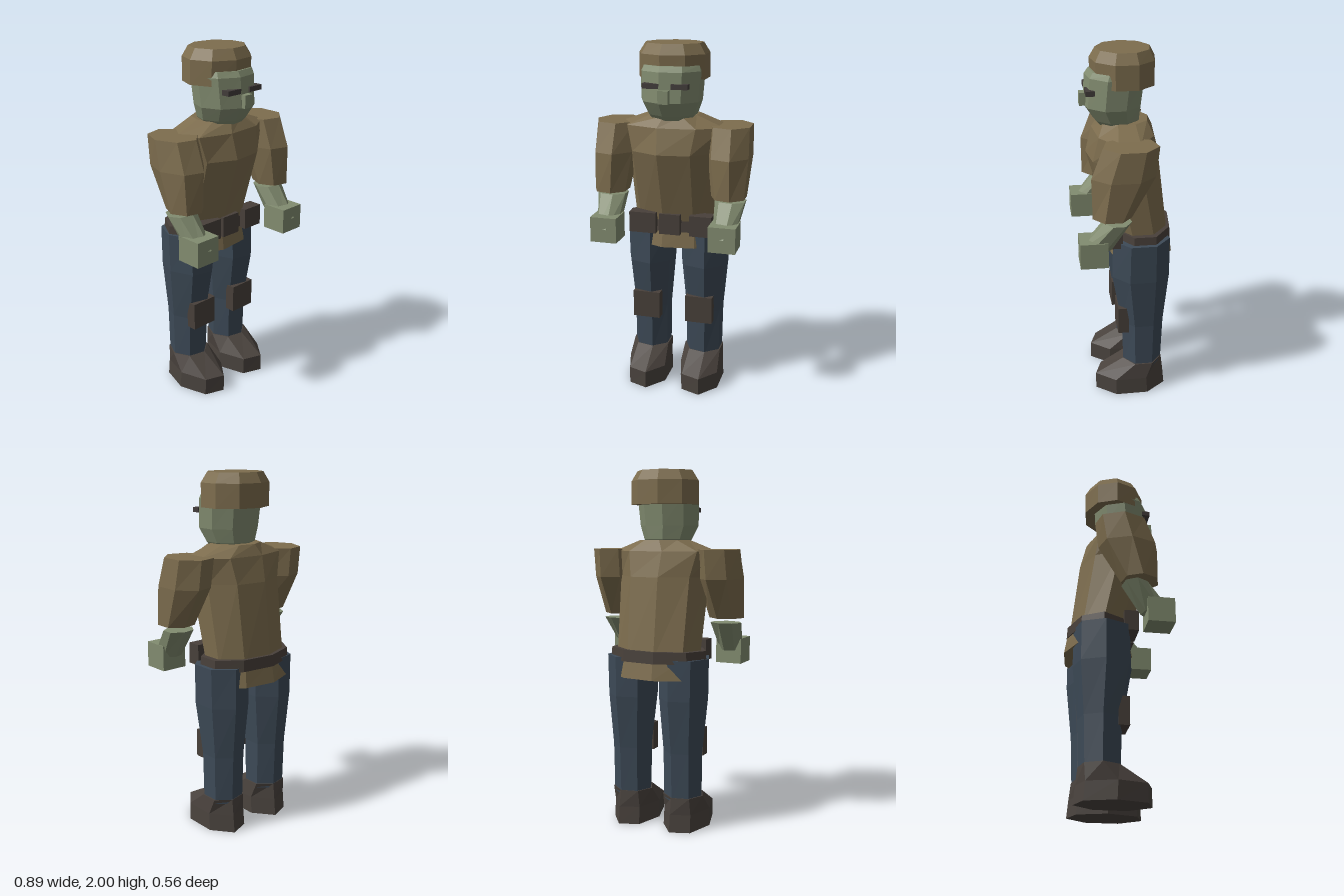
import * as THREE from 'three';

const mat = (name, color) => {
  const m = new THREE.MeshStandardMaterial({ color, flatShading: true });
  m.name = name;
  return m;
};

// Closed solid through elliptical rings [x, y, z, rx, rz], listed bottom to top.
// The first corner of every ring points to -x.
function loft(sides, rings) {
  const pos = [], idx = [];
  for (const [x, y, z, rx, rz] of rings)
    for (let i = 0; i < sides; i++) {
      const a = Math.PI + (i / sides) * Math.PI * 2;
      pos.push(x + rx * Math.cos(a), y, z + rz * Math.sin(a));
    }
  for (let r = 0; r < rings.length - 1; r++)
    for (let i = 0; i < sides; i++) {
      const a = r * sides + i, b = r * sides + (i + 1) % sides;
      idx.push(a, a + sides, b, b, a + sides, b + sides);
    }
  const top = (rings.length - 1) * sides;
  for (let i = 1; i < sides - 1; i++)
    idx.push(0, i, i + 1, top, top + i + 1, top + i);
  const g = new THREE.BufferGeometry();
  g.setAttribute('position', new THREE.Float32BufferAttribute(pos, 3));
  g.setIndex(idx);
  const flat = g.toNonIndexed();
  flat.computeVertexNormals();
  return flat;
}

// Box given by its extents.
function box(x0, x1, y0, y1, z0, z1) {
  return new THREE.BoxGeometry(x1 - x0, y1 - y0, z1 - z0)
    .translate((x0 + x1) / 2, (y0 + y1) / 2, (z0 + z1) / 2);
}

export function createModel() {
  const model = new THREE.Group();
  model.name = 'figure';
  const cloth = mat('brown cloth', 0x7d6d4e);
  const skin = mat('sage skin', 0x828c70);
  const denim = mat('blue trousers', 0x3d4a57);
  const leather = mat('dark leather', 0x48403a);
  const bootMat = mat('boot leather', 0x4a433e);
  const dark = mat('eye dark', 0x423c3a);
  const add = (name, geometry, material) => {
    const m = new THREE.Mesh(geometry, material);
    m.name = name;
    model.add(m);
  };

  // Tunic, hem and belt
  add('torso', loft(9, [
    [0, 0.98, -0.09, 0.25, 0.165],
    [0, 1.42, 0, 0.265, 0.205],
    [0, 1.56, 0, 0.31, 0.17],
    [0, 1.62, -0.005, 0.145, 0.135],
  ]), cloth);
  add('tunicHem', loft(9, [
    [0, 0.865, -0.09, 0.275, 0.195],
    [0, 0.98, -0.09, 0.26, 0.175],
  ]), cloth);
  add('belt', loft(9, [
    [0, 0.955, -0.09, 0.29, 0.182],
    [0, 1.02, -0.09, 0.285, 0.178],
  ]), leather);
  for (const [x0, x1] of [[-0.235, -0.08], [-0.06, 0.06], [0.115, 0.24]])
    add('beltPouch', box(x0, x1, 0.947, 1.065, 0.03, 0.11), leather);

  // Head, face and cap
  add('head', loft(9, [
    [0, 1.585, 0.03, 0.11, 0.1],
    [0, 1.625, 0.035, 0.14, 0.13],
    [0, 1.7, 0.055, 0.17, 0.16],
    [0, 1.86, 0.04, 0.18, 0.165],
    [0, 1.89, 0.035, 0.17, 0.15],
  ]), skin);
  add('nose', box(-0.028, 0.028, 1.7, 1.77, 0.15, 0.235), skin);
  add('cap', loft(9, [
    [0, 1.815, -0.002, 0.198, 0.175],
    [0, 1.945, 0, 0.196, 0.178],
    [0, 2, -0.002, 0.16, 0.147],
  ]), cloth);

  // Limbs and paired details
  for (const s of [-1, 1]) {
    const side = s > 0 ? 'left' : 'right';
    const eye = s > 0 ? [0.035, 0.125] : [-0.122, -0.03];
    add(side + 'Eye', box(...eye, 1.775, 1.802, 0.16, 0.207), dark);

    add(side + 'Sleeve', loft(7, [
      [s * 0.335, 1.19, 0.1, 0.1, 0.106],
      [s * 0.325, 1.41, 0.04, 0.126, 0.172],
      [s * 0.32, 1.57, 0, 0.124, 0.15],
    ]), cloth);
    add(side + 'Forearm', loft(7, [
      [s * 0.33, 1.0, 0.192, 0.065, 0.092],
      [s * 0.34, 1.165, 0.07, 0.09, 0.075],
    ]), skin);
    add(side + 'Hand', box(s * 0.333 - 0.075, s * 0.333 + 0.075, 0.925, 1.067, 0.127, 0.275), skin);

    const x = s * 0.16 + 0.005;
    add(side + 'Leg', loft(7, [
      [x, 0.17, -0.09, 0.11, 0.113],
      [x, 0.45, -0.09, 0.113, 0.123],
      [x, 0.75, -0.078, 0.14, 0.166],
      [x, 0.975, -0.08, 0.145, 0.163],
    ]), denim);
    const pad = s > 0 ? [0.08, 0.238] : [-0.235, -0.075];
    add(side + 'KneePad', box(...pad, 0.4, 0.56, -0.005, 0.055), leather);
    add(side + 'Boot', loft(7, [
      [x, 0, -0.02, 0.13, 0.21],
      [x, 0.1, -0.015, 0.128, 0.205],
      [x, 0.195, -0.09, 0.118, 0.116],
    ]), bootMat);
  }
  return model;
}
